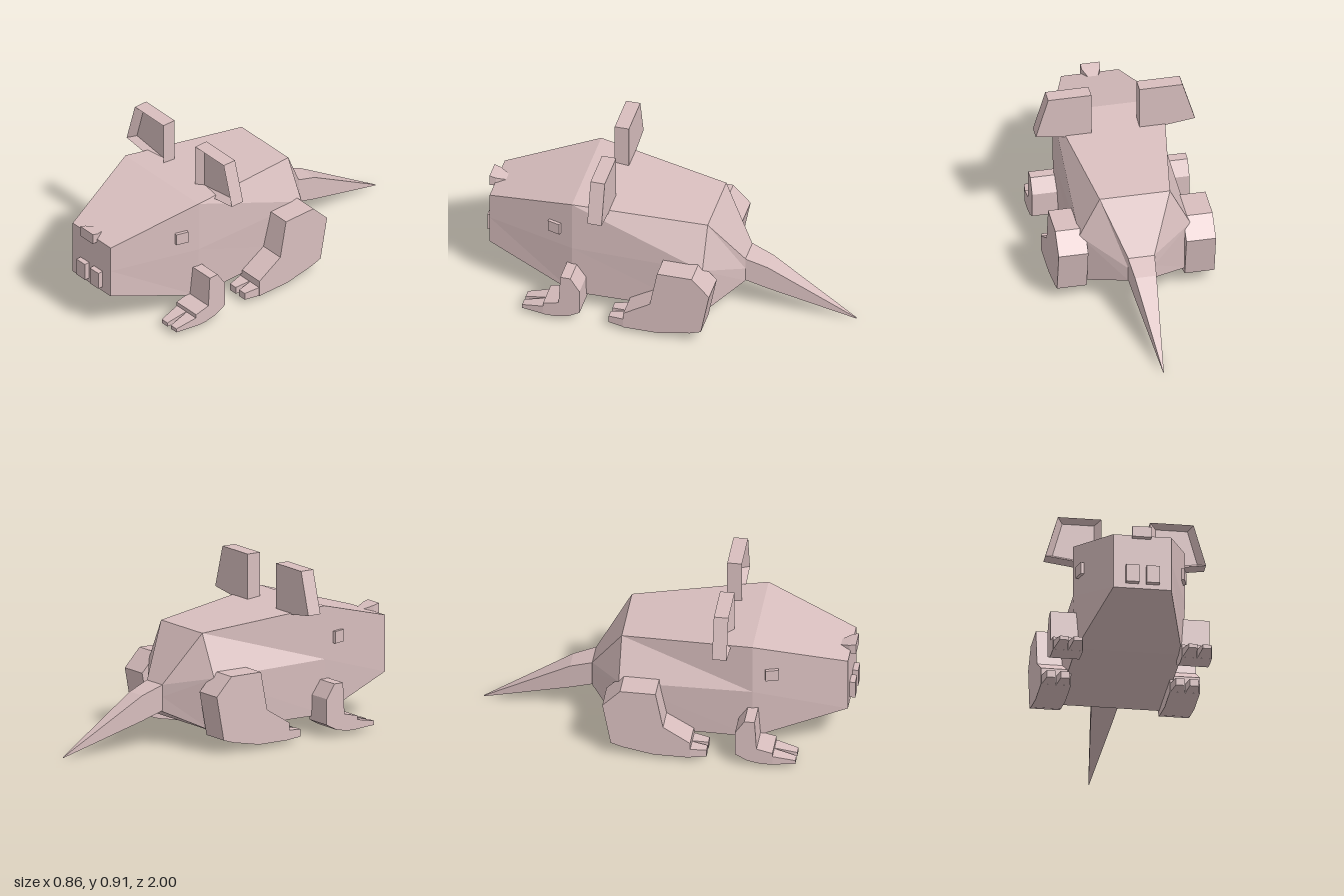
import * as THREE from 'three';

const skin = new THREE.MeshStandardMaterial({ color: 0xd8bebe });
skin.name = 'dusty pink';

// Closed solid through cross-sections ordered along +z, each counterclockwise seen from the front
function loft(sections) {
  const pos = [];
  const tri = (a, b, c) => pos.push(...a, ...b, ...c);
  const n = sections[0].length;
  for (let i = 0; i < sections.length - 1; i++) {
    for (let j = 0; j < n; j++) {
      const k = (j + 1) % n, s = sections[i], t = sections[i + 1];
      tri(s[j], s[k], t[k]);
      tri(s[j], t[k], t[j]);
    }
  }
  const back = sections[0], front = sections[sections.length - 1];
  for (let j = 1; j < n - 1; j++) {
    tri(back[0], back[j + 1], back[j]);
    tri(front[0], front[j], front[j + 1]);
  }
  const g = new THREE.BufferGeometry();
  g.setAttribute('position', new THREE.Float32BufferAttribute(pos, 3));
  g.computeVertexNormals();
  return g;
}

// Rectangular cross-section centred on cx
const rect = (z, cx, hw, y0, y1) =>
  [[cx - hw, y0, z], [cx + hw, y0, z], [cx + hw, y1, z], [cx - hw, y1, z]];

// Six-sided body section: half widths and heights at bottom, middle, top
const bodySection = (z, [xb, yb], [xm, ym], [xt, yt]) =>
  [[-xb, yb, z], [xb, yb, z], [xm, ym, z], [xt, yt, z], [-xt, yt, z], [-xm, ym, z]];

// Side profile given as [z, y], extruded across x
function profile(points, width) {
  const shape = new THREE.Shape(points.map(([z, y]) => new THREE.Vector2(z, y)));
  const g = new THREE.ExtrudeGeometry(shape, { depth: width, bevelEnabled: false });
  g.translate(0, 0, -width / 2);
  g.rotateY(-Math.PI / 2);
  return g;
}

export function createModel() {
  const model = new THREE.Group();
  model.name = 'mouse';
  const add = (name, geometry, parent = model) => {
    const mesh = new THREE.Mesh(geometry, skin);
    mesh.name = name;
    parent.add(mesh);
    return mesh;
  };

  // Body, from rump to snout
  add('body', loft([
    bodySection(-0.41, [0.07, 0.19], [0.07, 0.27], [0.07, 0.335]),
    bodySection(-0.235, [0.28, 0.1], [0.3, 0.39], [0.19, 0.615]),
    bodySection(0.48, [0.285, 0.097], [0.3, 0.4], [0.3, 0.69]),
    bodySection(0.97, [0.155, 0.24], [0.155, 0.4], [0.155, 0.548]),
  ]));

  // Tail, tapering to the ground
  add('tail', loft([
    rect(-1, 0, 0.002, 0.003, 0.008),
    rect(-0.53, 0, 0.058, 0.152, 0.29),
    rect(-0.41, 0, 0.072, 0.195, 0.335),
  ]));

  // Nose, narrow at the back
  add('nose', loft([
    rect(0.91, -0.006, 0.025, 0.53, 0.562),
    rect(0.965, -0.006, 0.05, 0.53, 0.58),
    rect(1, -0.006, 0.052, 0.53, 0.59),
  ]));

  const hindProfile = [[-0.02, 0.42], [-0.21, 0.42], [-0.305, 0.32], [-0.26, 0.08],
    [-0.2, 0.06], [-0.03, 0.027], [0.165, 0.027], [0.165, 0.12], [0.02, 0.21]];
  const foreProfile = [[0.51, 0.292], [0.455, 0.292], [0.405, 0.215], [0.405, 0.075],
    [0.47, 0.04], [0.54, 0.027], [0.605, 0.027], [0.605, 0.1], [0.52, 0.12]];

  // Ear outlines: outer rim and recessed inner panel
  const rim = [[0.13, 0.643], [0.43, 0.685], [0.363, 0.915], [0.13, 0.915]];
  const panel = [[0.165, 0.672], [0.388, 0.703], [0.335, 0.892], [0.165, 0.892]];

  for (const side of [1, -1]) {
    const label = side > 0 ? 'left' : 'right';

    const earSection = (outline, z) => {
      const pts = outline.map(([x, y]) => [side * x, y, z]);
      return side > 0 ? pts : pts.reverse();
    };
    add(label + 'Ear', loft([
      earSection(rim, 0.283), earSection(rim, 0.361), earSection(panel, 0.325),
    ]));

    // Eye, lying along the slanted cheek
    const eye = add(label + 'Eye', new THREE.BoxGeometry(0.03, 0.065, 0.07));
    eye.position.set(side * 0.273, 0.507, 0.58);
    eye.rotation.y = -side * 0.288;

    const tooth = add(label + 'Tooth', new THREE.BoxGeometry(0.07, 0.098, 0.05));
    tooth.position.set(side * 0.055, 0.316, 0.975);

    // Legs with two tapered toes each
    for (const [name, points, toeZ, toeLength] of [
      ['HindLeg', hindProfile, 0.165, 0.085],
      ['ForeLeg', foreProfile, 0.605, 0.12],
    ]) {
      const leg = new THREE.Group();
      leg.name = label + name;
      model.add(leg);
      add('legAndFoot', profile(points, 0.16), leg).position.x = side * 0.345;
      for (const [toe, base, tip] of [['innerToe', 0.305, 0.308], ['outerToe', 0.385, 0.382]]) {
        add(toe, loft([
          rect(toeZ - 0.01, side * base, 0.039, 0.027, 0.08),
          rect(toeZ + toeLength, side * tip, 0.023, 0.03, name === 'HindLeg' ? 0.07 : 0.052),
        ]), leg);
      }
    }
  }
  return model;
}
